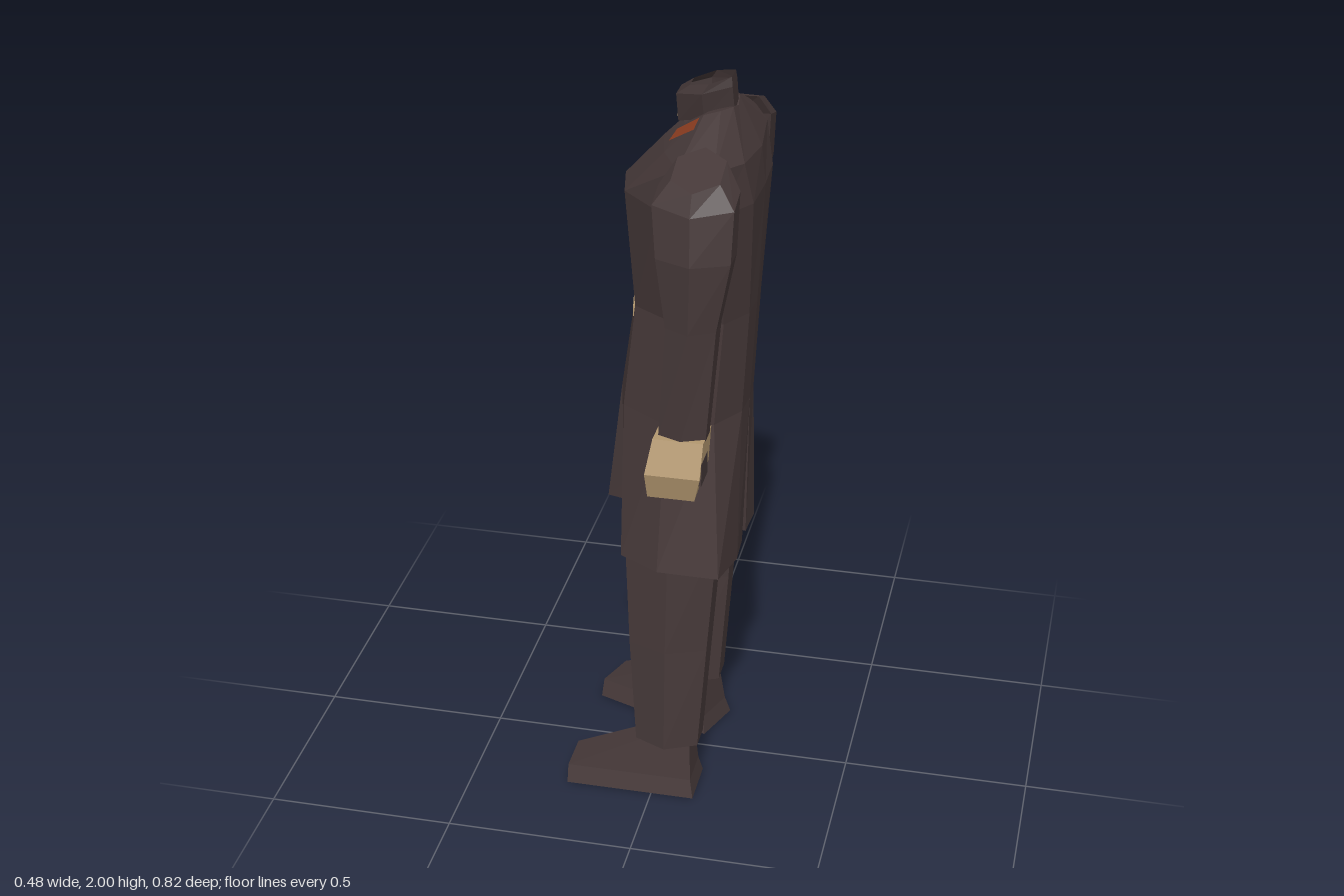
import * as THREE from 'three';

const mat = (name, color, extra = {}) => {
  const m = new THREE.MeshStandardMaterial({ color, flatShading: true, ...extra });
  m.name = name;
  return m;
};

// Skin a list of rings (each a list of [x, y, z]) into a faceted solid.
function loft(rings, { top = true, bottom = true } = {}) {
  if (rings[0][0][1] > rings[rings.length - 1][0][1]) rings = [...rings].reverse();
  const out = [], n = rings[0].length;
  const tri = (a, b, c) => out.push(...a, ...b, ...c);
  const centre = r => [0, 1, 2].map(k => r.reduce((s, p) => s + p[k], 0) / n);
  for (let j = 0; j < rings.length - 1; j++) {
    for (let i = 0; i < n; i++) {
      const k = (i + 1) % n, lo = rings[j], hi = rings[j + 1];
      tri(lo[i], hi[i], lo[k]);
      tri(lo[k], hi[i], hi[k]);
    }
  }
  const first = rings[0], last = rings[rings.length - 1];
  for (let i = 0; i < n; i++) {
    const k = (i + 1) % n;
    if (bottom) tri(centre(first), first[i], first[k]);
    if (top) tri(centre(last), last[k], last[i]);
  }
  return surface(out);
}

function surface(points) {
  const g = new THREE.BufferGeometry();
  g.setAttribute('position', new THREE.Float32BufferAttribute(points, 3));
  g.computeVertexNormals();
  return g;
}

// Polygon ring with half extents rx, rz; tilt slopes it along z.
function ring(n, [y, cx, cz, rx, rz, tilt = 0]) {
  const sx = 1 / Math.cos(Math.PI / n), sz = n === 4 ? Math.SQRT2 : 1;
  return Array.from({ length: n }, (_, i) => {
    const a = ((i + 0.5) / n) * Math.PI * 2, dz = Math.sin(a) * rz * sz;
    return [cx + Math.cos(a) * rx * sx, y + tilt * dz, cz + dz];
  });
}
const limb = (n, rows) => loft(rows.map(r => ring(n, r)));

// Full ring from a half outline running back to front on the +z side.
const mirrorRing = half => [
  ...half,
  ...half.slice(1, -1).reverse().map(([x, y, z]) => [x, y, -z]),
];
const level = (y, half) => half.map(([x, z]) => [x, y, z]);

export function createModel() {
  const cloth = mat('dark cloth', 0x453838);
  const lining = mat('dark cloth neck', 0x403434, { side: THREE.DoubleSide });
  const skin = mat('tan', 0xb2976f);
  const orange = mat('rust orange', 0x8a3c20, { side: THREE.DoubleSide });
  const model = new THREE.Group();
  const add = (name, geometry, material, parent = model) => {
    const m = new THREE.Mesh(geometry, material);
    m.name = name;
    parent.add(m);
    return m;
  };

  // Coat body, facing -x
  const waist = level(1.12, [[0.21, 0], [0.205, 0.08], [0.15, 0.17], [0.03, 0.2], [-0.1, 0.11], [-0.13, 0]]);
  const shoulder = [[0.23, 1.82, 0], [0.215, 1.83, 0.15], [0.16, 1.84, 0.25],
    [0.07, 1.84, 0.25], [0.01, 1.83, 0.12], [-0.015, 1.83, 0]];
  const collar = [[0.17, 1.92, 0], [0.165, 1.93, 0.04], [0.14, 1.93, 0.075],
    [0.1, 1.92, 0.085], [0.045, 1.88, 0.045], [0.03, 1.875, 0]];
  add('coatBody', loft([
    mirrorRing(waist),
    mirrorRing(level(1.4, [[0.225, 0], [0.22, 0.08], [0.17, 0.16], [0.05, 0.18], [-0.07, 0.1], [-0.09, 0]])),
    mirrorRing(level(1.72, [[0.24, 0], [0.235, 0.13], [0.17, 0.235], [0.02, 0.23], [-0.09, 0.12], [-0.115, 0]])),
    mirrorRing(shoulder),
    mirrorRing(collar),
  ]), cloth);

  // Two coat tails, parted at the middle
  const tails = {
    leftCoatTail: [1, [[0.2, 0.7, 0.025], [0.205, 0.7, 0.12], [0.18, 0.71, 0.25],
      [0.02, 0.72, 0.263], [-0.09, 0.72, 0.2], [-0.12, 0.73, 0.025]]],
    rightCoatTail: [-1, [[0.2, 0.7, 0.025], [0.205, 0.7, 0.12], [0.18, 0.71, 0.24],
      [0.0, 0.72, 0.262], [-0.14, 0.75, 0.21], [-0.18, 0.76, 0.035]]],
  };
  for (const [name, [side, hem]] of Object.entries(tails)) {
    let rings = [hem, waist];
    if (side < 0) rings = rings.map(r => r.map(([x, y, z]) => [x, y, -z]).reverse());
    add(name, loft(rings), cloth);
  }

  // Open neck stand, higher at the back
  const slant = (r, k) => r.map(([x, y, z]) => [x, y + (x - 0.1) * k, z]);
  add('neckStand', loft([
    slant(ring(6, [1.9, 0.095, 0, 0.07, 0.055]), 0.3),
    slant(ring(6, [1.965, 0.09, 0, 0.07, 0.062]), 0.2),
    slant(ring(6, [1.985, 0.105, 0, 0.052, 0.052]), 0.28),
  ], { top: false, bottom: false }), lining);

  // Collar strips laid on the shoulder slope
  const slope = (v, k, s) => {
    const [x, y, z] = shoulder[k].map((a, i) => a + (collar[k][i] - a) * v);
    return [x - 0.004, y + 0.007, s * z];
  };
  for (const s of [1, -1]) {
    const [a, b, c, d] = [slope(0.3, 4, s), slope(0.7, 4, s), slope(0.9, 3, s), slope(0.68, 3, s)];
    add('collarStrip', surface([a, b, c, a, c, d].flat()), orange);
    const patch = [[0.036, 1.893, 0.012], [0.07, 1.912, 0.018], [0.05, 1.905, 0.04]];
    add('shirtPatch', surface(patch.map(([x, y, z]) => [x, y, s * z]).flat()), orange);
  }

  // Collar button and belt buckle
  add('collarButton', new THREE.BoxGeometry(0.009, 0.02, 0.02), skin).position.set(0.02, 1.885, -0.018);
  const buckle = add('buckle', new THREE.BoxGeometry(0.009, 0.035, 0.1), skin);
  buckle.position.set(-0.082, 1.38, 0.045);
  buckle.rotation.y = 0.2;

  // Sleeves, the right one swung forward
  add('leftSleeve', limb(6, [
    [1.848, 0.125, 0.26, 0.06, 0.08, -0.35], [1.79, 0.125, 0.29, 0.1, 0.075, -0.3], [1.65, 0.13, 0.31, 0.092, 0.078],
    [1.47, 0.125, 0.315, 0.063, 0.068], [1.17, 0.105, 0.325, 0.06, 0.05]]), cloth);
  add('rightSleeve', limb(6, [
    [1.848, 0.12, -0.26, 0.06, 0.08, 0.35], [1.79, 0.115, -0.3, 0.09, 0.078, 0.3], [1.65, 0.11, -0.325, 0.085, 0.085],
    [1.45, 0.08, -0.325, 0.068, 0.07], [1.17, -0.025, -0.32, 0.058, 0.05]]), cloth);

  // Hands
  add('leftHand', limb(4, [
    [1.175, 0.1, 0.325, 0.064, 0.05], [1.09, 0.092, 0.352, 0.07, 0.056], [1.03, 0.085, 0.345, 0.06, 0.042, -0.3]]), skin);
  add('rightHand', limb(4, [
    [1.175, -0.025, -0.315, 0.06, 0.05], [1.09, -0.03, -0.318, 0.06, 0.058], [1.055, -0.03, -0.315, 0.05, 0.055]]), skin);
  const leftPalm = add('leftPalmPatch', new THREE.BoxGeometry(0.009, 0.06, 0.075), cloth);
  leftPalm.position.set(0.159, 1.095, 0.355);
  const rightPalm = add('rightPalmPatch', new THREE.BoxGeometry(0.009, 0.06, 0.08), cloth);
  rightPalm.position.set(-0.088, 1.1, -0.325);

  // Trouser legs
  add('leftLeg', limb(6, [
    [0.8, 0.04, 0.138, 0.125, 0.08], [0.45, 0.035, 0.155, 0.105, 0.08], [0.15, 0.035, 0.173, 0.085, 0.077]]), cloth);
  add('rightLeg', limb(6, [
    [0.8, 0.01, -0.135, 0.145, 0.085], [0.5, 0.015, -0.145, 0.125, 0.08], [0.155, 0.02, -0.147, 0.095, 0.078]]), cloth);

  // Shoes, the right one turned outward
  const shoe = limb(4, [
    [0, -0.1, 0, 0.176, 0.07], [0.05, -0.105, 0, 0.171, 0.056], [0.16, 0.0, 0, 0.06, 0.035]]);
  add('leftShoe', shoe, cloth).position.set(0.04, 0, 0.182);
  const rightShoe = add('rightShoe', shoe, cloth);
  rightShoe.position.set(0.04, 0, -0.142);
  rightShoe.rotation.y = -0.36;

  return model;
}
